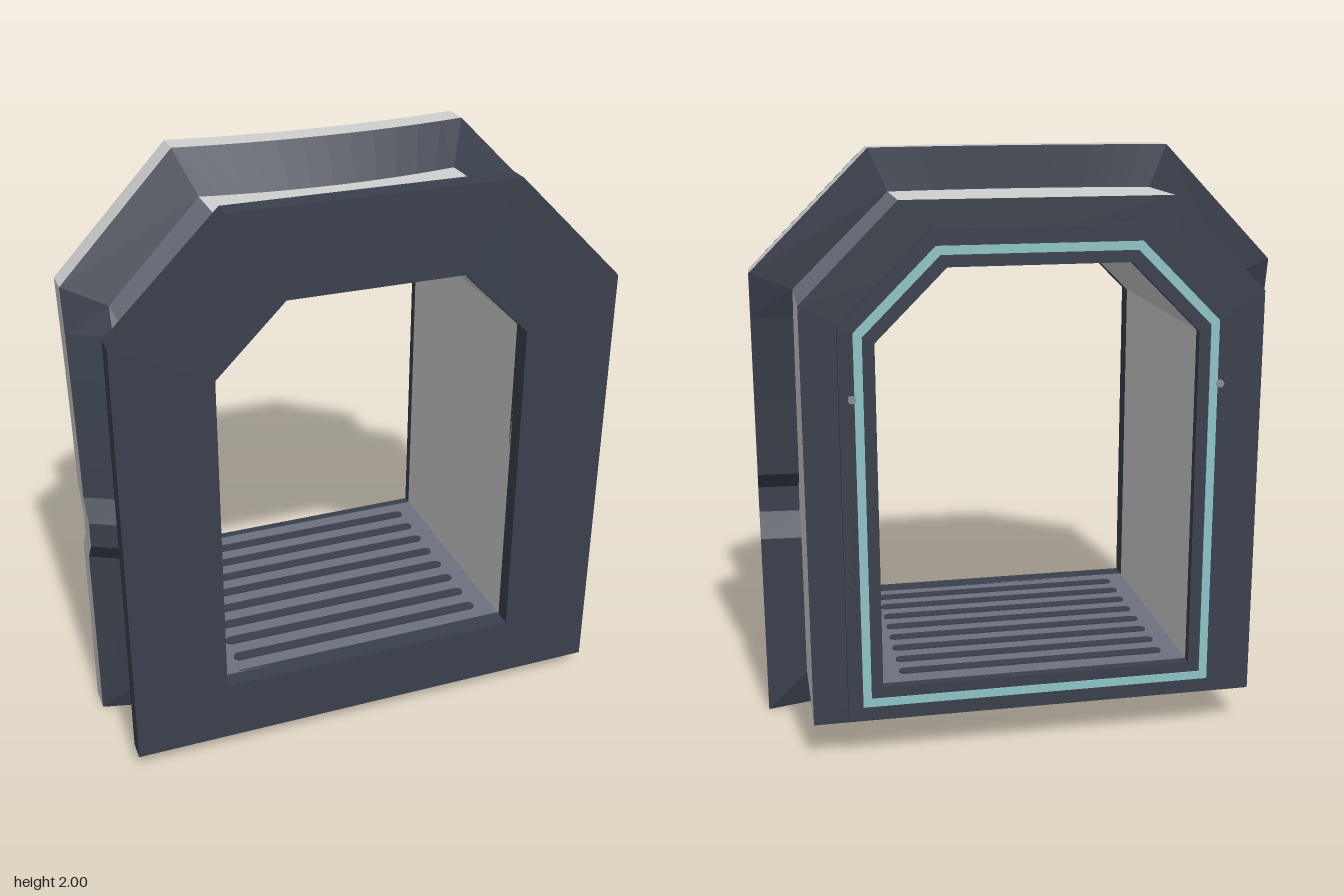
import * as THREE from 'three';

const mat = (name, color) => {
  const m = new THREE.MeshStandardMaterial({ color });
  m.name = name;
  return m;
};

// Six-sided doorway outline, counter-clockwise from bottom left: half width, bottom, top, corner cut
const outline = (w, y0, y1, c) => [
  [-w, y0], [w, y0], [w, y1 - c], [w - c, y1], [c - w, y1], [-w, y1 - c],
];
const OPENING = outline(0.525, 0.27, 1.655, 0.23);
const SHELL = outline(0.755, 0.14, 1.86, 0.315);
const at = (loop, z) => loop.map(([x, y]) => [x, y, z]);

export function createModel() {
  const root = new THREE.Group();
  const dark = mat('dark slate', 0x3a404c);
  const light = mat('light panel', 0xd0d0d1);
  const mid = mat('mid slate', 0x6c727e);
  const teal = mat('teal seal', 0x8fc4c6);
  const steel = mat('bolt steel', 0x8a9098);

  const add = (name, geo, material) => {
    const mesh = new THREE.Mesh(geo, material);
    mesh.name = name;
    root.add(mesh);
    return mesh;
  };

  // Flat ring between two outlines, from zBack to zFront
  const ring = (name, outer, inner, zBack, zFront, material) => {
    const v = (loop) => loop.map(([x, y]) => new THREE.Vector2(x, y));
    const shape = new THREE.Shape(v(outer));
    shape.holes.push(new THREE.Path(v(inner)));
    const geo = new THREE.ExtrudeGeometry(shape, { depth: zFront - zBack, bevelEnabled: false });
    add(name, geo.translate(0, 0, zBack), material);
  };

  // Flat-shaded strip of quads joining loop a to loop b; sides picks the segments
  const band = (name, a, b, material, sides = a.map((_, i) => i)) => {
    const pos = [];
    for (const i of sides) {
      const j = (i + 1) % a.length;
      pos.push(...a[i], ...b[i], ...b[j], ...a[i], ...b[j], ...a[j]);
    }
    const geo = new THREE.BufferGeometry();
    geo.setAttribute('position', new THREE.Float32BufferAttribute(pos, 3));
    geo.computeVertexNormals();
    add(name, geo, material);
  };

  // Tunnel shell: outside panels, inside lining, floor
  const sf = at(SHELL, 0.41), sb = at(SHELL, -0.43);
  band('shellPanels', sf, sb, light, [1, 3, 5]);
  band('shellCornerPanels', sf, sb, mid, [2, 4]);
  band('shellUnderside', sf, sb, dark, [0]);
  const lf = at(OPENING, 0.41), lb = at(OPENING, -0.43);
  band('lining', lb, lf, light, [1, 2, 3, 4, 5]);
  band('floor', lb, lf, mid, [0]);
  ring('rearEndFace', SHELL, OPENING, -0.431, -0.429, dark);

  // Floor slots, with rounded ends
  for (let i = 0; i < 8; i++) {
    const slot = new THREE.Shape();
    slot.absarc(0.44, 0, 0.02, -Math.PI / 2, Math.PI / 2);
    slot.absarc(-0.44, 0, 0.02, Math.PI / 2, Math.PI * 1.5);
    const geo = new THREE.ExtrudeGeometry(slot, { depth: 0.005, bevelEnabled: false, curveSegments: 6 });
    geo.rotateX(-Math.PI / 2).translate(0, 0.27, -0.35 + i * 0.097);
    add('floorSlot', geo, dark);
  }

  // Front frame, second flange and its seal
  ring('frontFrame', outline(0.845, 0.055, 1.95, 0.37), OPENING, 0.4, 0.47, dark);
  const inset = outline(0.75, 0.145, 1.855, 0.315);
  ring('flange', outline(0.785, 0.115, 1.89, 0.34), inset, 0.26, 0.322, dark);
  ring('flangeSeal', outline(0.775, 0.125, 1.88, 0.335), inset, 0.25, 0.26, teal);

  // Rear flange with raised lip and seal
  ring('rearFlange', outline(0.64, 0.155, 1.775, 0.3), OPENING, -0.455, -0.43, dark);
  ring('rearLip', outline(0.605, 0.195, 1.735, 0.27), OPENING, -0.461, -0.455, dark);
  ring('rearSeal', outline(0.592, 0.205, 1.722, 0.262), outline(0.564, 0.233, 1.694, 0.248),
    -0.465, -0.46, teal);

  // Small latches and the bolts behind the front frame
  const bolt = (name, x, y, z, r, h) => {
    const geo = new THREE.CylinderGeometry(r, r, h, 8);
    add(name, geo.rotateX(Math.PI / 2).translate(x, y, z), steel);
  };
  const spots = [[0.15, 1.91], [0.45, 1.91], [0.63, 1.735], [0.15, 0.1], [0.45, 0.1], [0.8, 0.1]];
  for (let i = 0; i < 5; i++) spots.push([0.8, 0.39 + i * 0.294]);
  for (const s of [-1, 1]) {
    bolt('latch', s * 0.6, 1.25, -0.463, 0.013, 0.016);
    for (const [x, y] of spots) bolt('frameBolt', s * x, y, 0.398, 0.013, 0.012);
  }

  // Collar stations: outer x, outer y, inner x, inner y, rim front z, slope depth
  const half = [];
  for (let i = 0; i <= 6; i++) {
    const t = i / 6;
    half.push([0.895 * t, 0, 0.755 * t, 0.14, 0.22 - 0.12 * t * t, 0.035 + 0.045 * t * t]);
  }
  const side = [
    [0.65, 0.1], [0.73, 0.165], [0.82, 0.165], [0.885, 0.1], [1.0, 0.09],
    [1.15, 0.075], [1.3, 0.055], [1.45, 0.03], [1.6, 0],
  ];
  for (const [y, z] of side) half.push([0.895, y, 0.755, Math.min(y, 1.545), z, 0.072]);
  for (let i = 6; i >= 0; i--) {
    const t = i / 6;
    half.push([0.5 * t, 2, 0.44 * t, 1.86, -0.04 * t * t, 0.085]);
  }
  const mirrored = half.slice(1, -1).reverse().map(([ox, oy, ix, ...r]) => [-ox, oy, -ix, ...r]);
  const stations = [...half, ...mirrored];
  const outerFront = stations.map(([x, y, , , z]) => [x, y, z]);
  const outerBack = stations.map(([x, y, , , z]) => [x, y, z - 0.09]);
  const innerFront = stations.map(([, , x, y, z, d]) => [x, y, z + d]);
  const innerBack = stations.map(([, , x, y, z]) => [x, y, z - 0.1]);
  band('collarFront', innerFront, outerFront, dark);
  band('collarRim', outerFront, outerBack, light);
  band('collarBack', outerBack, innerBack, dark);

  return root;
}
